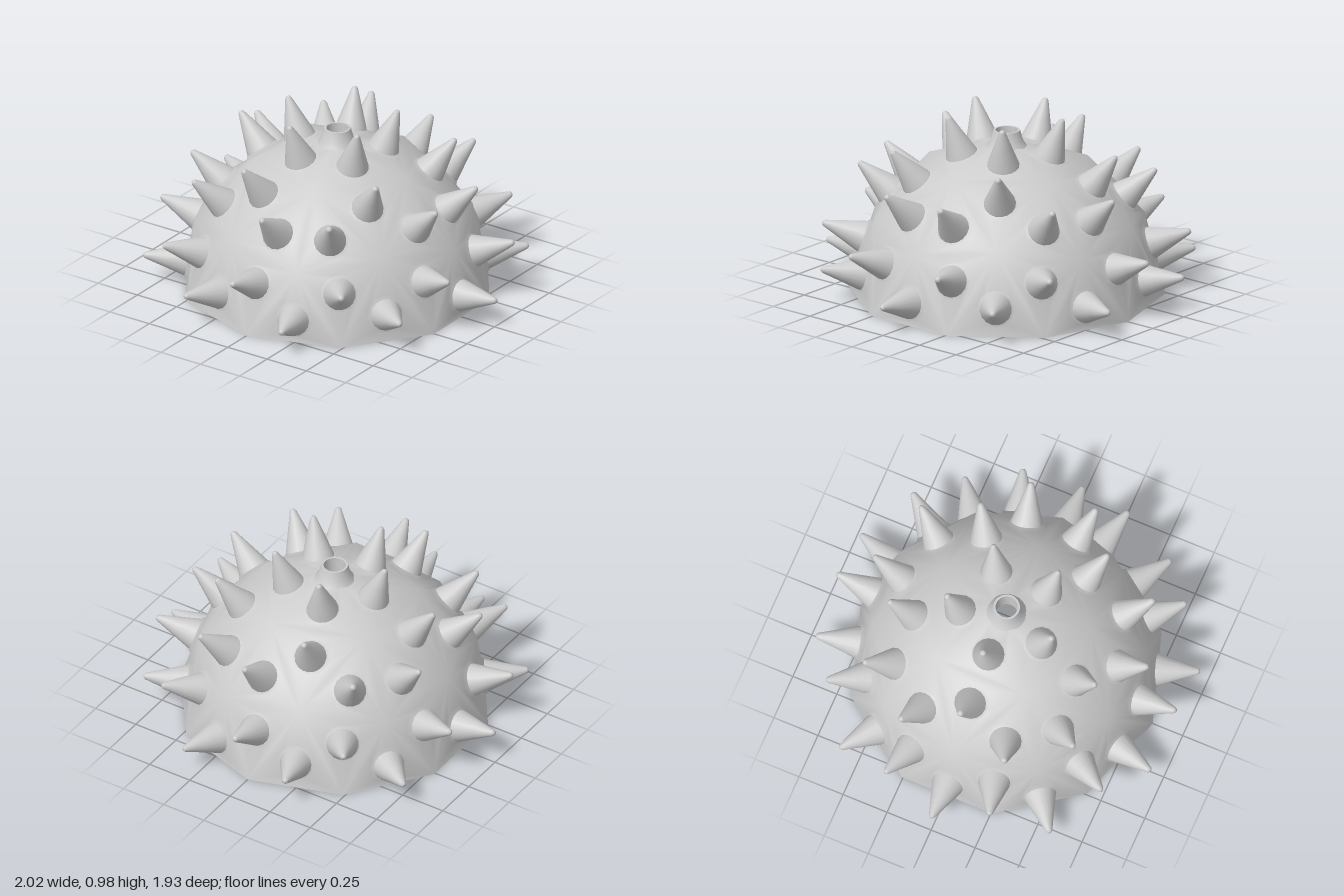
import * as THREE from 'three';
import { mergeVertices, toCreasedNormals } from 'three/addons/utils/BufferGeometryUtils.js';

const R = 0.83;        // dome radius
const INNER = 0.95;    // inner skin scale
const SIDES = 12;      // sides of each spike seat
const APEX_CUT = 0.2;  // share of each top edge cut away for the opening

// Upper half of a once-subdivided icosahedron, one vertex pointing up
function domeFaces() {
  const geo = new THREE.IcosahedronGeometry(R, 1);
  geo.rotateX(-Math.atan((1 + Math.sqrt(5)) / 2));
  geo.rotateY(Math.PI / 2);
  const pos = geo.attributes.position;
  const faces = [];
  for (let i = 0; i < pos.count; i += 3) {
    const tri = [0, 1, 2].map((k) => new THREE.Vector3().fromBufferAttribute(pos, i + k));
    const centre = new THREE.Vector3().add(tri[0]).add(tri[1]).add(tri[2]).divideScalar(3);
    if (centre.y < 0.02) continue;
    const normal = tri[1].clone().sub(tri[0]).cross(tri[2].clone().sub(tri[0])).normalize();
    // Replace the top vertex by two points, leaving a five-sided opening
    const corners = [];
    tri.forEach((p, k) => {
      if (p.y > R * 0.99) {
        corners.push(p.clone().lerp(tri[(k + 2) % 3], APEX_CUT), p.clone().lerp(tri[(k + 1) % 3], APEX_CUT));
      } else corners.push(p);
    });
    faces.push({ tri, corners, centre, normal });
  }
  return faces;
}

function geometryFrom(points) {
  const geo = new THREE.BufferGeometry().setFromPoints(points);
  const merged = mergeVertices(geo, 1e-4);
  merged.computeVertexNormals();
  return merged;
}

// Outer skin: each face runs from its corners to a round raised seat
function outerShell(faces) {
  const out = [];
  for (const { tri, corners, centre, normal } of faces) {
    const u = tri[0].clone().sub(centre).normalize();
    const w = normal.clone().cross(u);
    const ringPoint = (i, r, h) => {
      const a = (i % SIDES) / SIDES * Math.PI * 2;
      return centre.clone().addScaledVector(u, r * Math.cos(a)).addScaledVector(w, r * Math.sin(a)).addScaledVector(normal, h);
    };
    const nearest = (i) => {
      const d = ringPoint(i + 0.5, 1, 0).sub(centre);
      let best = 0, score = -2;
      corners.forEach((c, k) => {
        const s = c.clone().sub(centre).normalize().dot(d);
        if (s > score) { score = s; best = k; }
      });
      return best;
    };
    for (let i = 0; i < SIDES; i++) {
      const a = ringPoint(i, 0.1, 0), b = ringPoint(i + 1, 0.1, 0);
      const c = ringPoint(i, 0.092, 0.018), d = ringPoint(i + 1, 0.092, 0.018);
      const now = nearest(i), before = nearest((i + SIDES - 1) % SIDES);
      out.push(a, corners[now], b);
      if (now !== before) out.push(a, corners[before], corners[now]);
      out.push(a, b, d, a, d, c);
      out.push(c, d, centre.clone().addScaledVector(normal, 0.018));
    }
  }
  return geometryFrom(out);
}

// Inner skin: the plain faces, scaled down and turned inward
function innerShell(faces) {
  const out = [];
  for (const { corners } of faces) {
    const p = corners.map((c) => c.clone().multiplyScalar(INNER));
    for (let k = 1; k + 1 < p.length; k++) out.push(p[0], p[k + 1], p[k]);
  }
  return geometryFrom(out);
}

const profile = (list) => list.map(([x, y]) => new THREE.Vector2(x, y));

export function createModel() {
  const model = new THREE.Group();
  model.name = 'spikedDome';
  const material = new THREE.MeshStandardMaterial({ color: 0xcccccc });
  const add = (name, geometry, parent = model) => {
    const mesh = new THREE.Mesh(geometry, material);
    mesh.name = name;
    parent.add(mesh);
    return mesh;
  };
  const faces = domeFaces();

  add('outerShell', outerShell(faces));
  add('innerShell', innerShell(faces));

  // Ten-sided bottom rim
  const rim = new THREE.RingGeometry(R * INNER, R, 10, 1, Math.PI / 2);
  add('bottomRim', rim.rotateX(Math.PI / 2));

  // Open collar at the top
  const collar = new THREE.LatheGeometry(profile([
    [0.105, 0.795], [0.085, 0.825], [0.07, 0.88], [0.058, 0.88], [0.058, 0.765], [0.092, 0.76],
  ]), 24);
  add('topCollar', toCreasedNormals(collar, 0.7));

  // One blunt spike on every face
  const spikes = new THREE.Group();
  spikes.name = 'spikes';
  model.add(spikes);
  const spike = new THREE.LatheGeometry(profile([
    [0.086, 0.01], [0.084, 0.025], [0.05, 0.13], [0.017, 0.232], [0.01, 0.241], [0, 0.243],
  ]), 16);
  const up = new THREE.Vector3(0, 1, 0);
  for (const { centre, normal } of faces) {
    const mesh = add('spike', spike, spikes);
    mesh.position.copy(centre);
    mesh.quaternion.setFromUnitVectors(up, normal);
  }
  return model;
}
